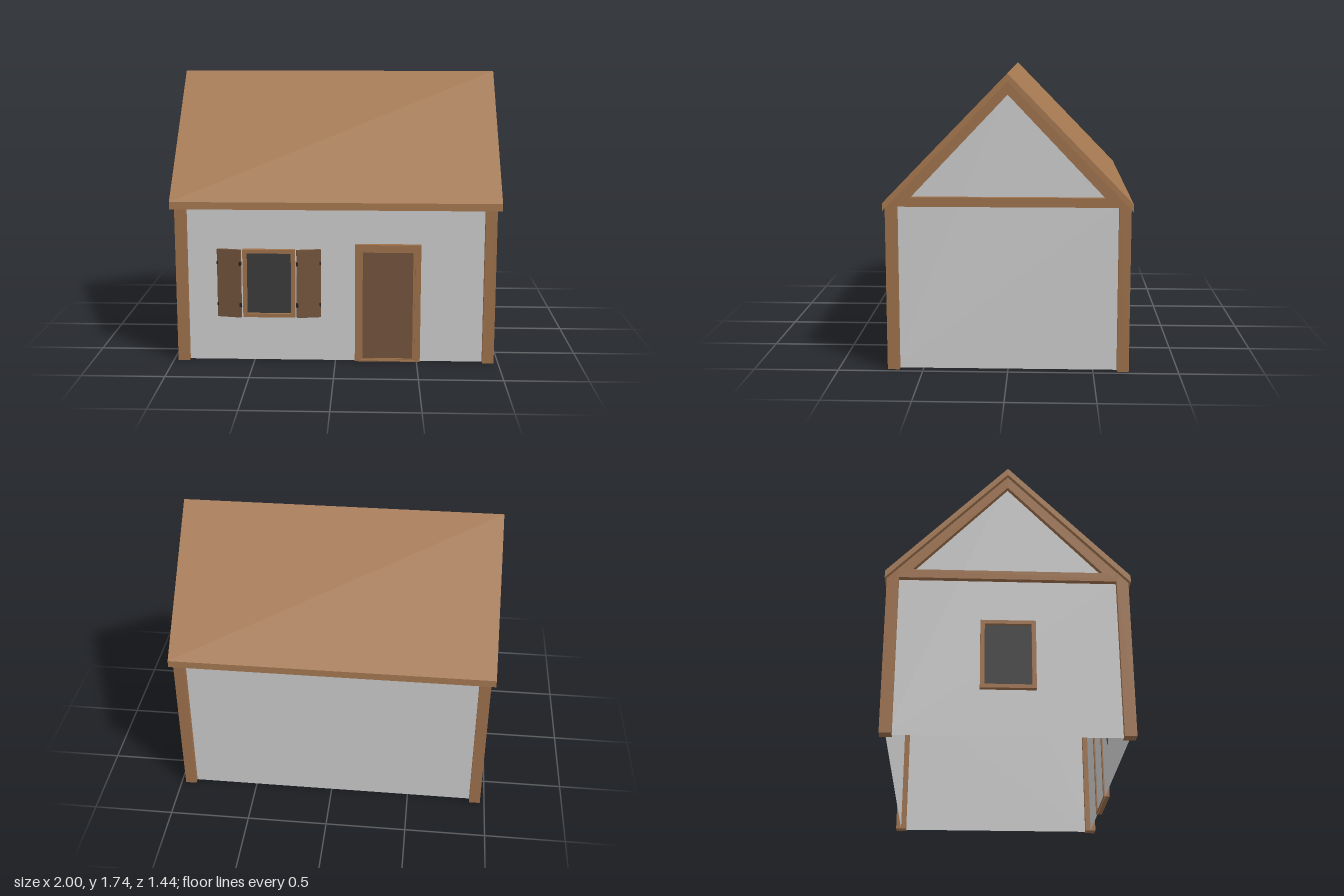
import * as THREE from 'three';

const mat = (color, side = THREE.FrontSide) =>
  new THREE.MeshStandardMaterial({ color, side, flatShading: true });

const plaster = mat(0xcccccc, THREE.DoubleSide);
const timber = mat(0x9e714c);
const roofing = mat(0xa57851);
const doorWood = mat(0x73543d);
const glass = mat(0x3a3a3a);
const iron = mat(0x2a211c);

const WX = 0.937, WZ = 0.675; // wall planes

function add(parent, name, geometry, material) {
  const mesh = new THREE.Mesh(geometry, material);
  mesh.name = name;
  parent.add(mesh);
  return mesh;
}

// Box given by its minimum and maximum corners
function box(parent, name, material, x0, x1, y0, y1, z0, z1) {
  const mesh = add(parent, name, new THREE.BoxGeometry(x1 - x0, y1 - y0, z1 - z0), material);
  mesh.position.set((x0 + x1) / 2, (y0 + y1) / 2, (z0 + z1) / 2);
  return mesh;
}

const outline = (points) => points.map(([x, y]) => new THREE.Vector2(x, y));

// Shape extruded along x, with its drawing plane turned to z-y
function crossSection(shape, depth) {
  return new THREE.ExtrudeGeometry(shape, { depth, bevelEnabled: false })
    .translate(0, 0, -depth / 2)
    .rotateY(Math.PI / 2);
}

// Rectangular ring between two rectangles, z0 to z1
function frame(parent, name, [x0, x1, y0, y1], [a0, a1, b0, b1], z0, z1) {
  const shape = new THREE.Shape(outline([[x0, y0], [x1, y0], [x1, y1], [x0, y1]]));
  shape.holes.push(new THREE.Path(outline([[a0, b0], [a0, b1], [a1, b1], [a1, b0]])));
  const geometry = new THREE.ExtrudeGeometry(shape, { depth: z1 - z0, bevelEnabled: false });
  return add(parent, name, geometry.translate(0, 0, z0), timber);
}

// Window centred on x = 0, with the wall plane at z = 0
function makeWindow(name) {
  const group = new THREE.Group();
  group.name = name;
  frame(group, 'windowFrame', [-0.16, 0.16, 0.28, 0.705], [-0.135, 0.135, 0.303, 0.682], -0.008, 0.031);
  box(group, 'windowPane', glass, -0.137, 0.137, 0.3, 0.685, 0.004, 0.012);
  return group;
}

// Shutter hinged at its inner edge, the outer edge leaning back to the wall
function makeShutter(side) {
  const group = new THREE.Group();
  group.name = side < 0 ? 'rightShutter' : 'leftShutter';
  const w = 0.148;
  const span = (a, b) => (side < 0 ? [-b, -a] : [a, b]);
  box(group, 'shutterPanel', doorWood, ...span(0, w), 0.28, 0.705, 0.023, 0.043);
  for (const y of [0.36, 0.62]) {
    box(group, 'shutterHinge', iron, ...span(-0.004, 0.008), y - 0.012, y + 0.012, 0.03, 0.049);
    box(group, 'shutterCatch', iron, ...span(w - 0.008, w + 0.001), y - 0.01, y + 0.01, 0.035, 0.045);
  }
  group.position.x = side * 0.164;
  group.rotation.y = side * 0.18;
  return group;
}

export function createModel() {
  const house = new THREE.Group();
  house.name = 'cottage';

  // Long walls
  for (const s of [-1, 1]) {
    const wall = add(house, s > 0 ? 'frontWall' : 'backWall', new THREE.PlaneGeometry(2 * WX, 1.01), plaster);
    wall.position.set(0, 0.505, s * WZ);
    if (s < 0) wall.rotation.y = Math.PI;
  }

  // End walls with gables, and the timber triangle on each
  const gable = new THREE.Shape(outline([[-WZ, 0], [WZ, 0], [WZ, 1.01], [0, 1.705], [-WZ, 1.01]]));
  const truss = new THREE.Shape(outline([[-0.695, 0.975], [0.695, 0.975], [0.695, 0.985], [0, 1.703], [-0.695, 0.985]]));
  truss.holes.push(new THREE.Path(outline([[-0.56, 1.03], [0, 1.62], [0.56, 1.03]])));
  for (const s of [-1, 1]) {
    const wall = add(house, s > 0 ? 'leftWall' : 'rightWall', new THREE.ShapeGeometry(gable), plaster);
    wall.rotation.y = s * Math.PI / 2;
    wall.position.x = s * WX;
    add(house, 'gableTimbers', crossSection(truss, 0.066), timber).position.x = s * WX;
  }

  // Corner posts, cut to the roof slope by their cross-section
  const post = new THREE.Shape(outline([[-0.035, 0], [0.035, 0], [0.035, 1.045], [-0.035, 0.975]]));
  for (const sx of [-1, 1]) {
    for (const sz of [-1, 1]) {
      const mesh = add(house, 'cornerPost', crossSection(post, 0.07), timber);
      mesh.position.set(sx * WX, 0, sz * WZ);
      if (sz < 0) mesh.rotation.y = Math.PI;
    }
  }

  // Roof slab
  const roof = new THREE.Shape(outline([
    [-0.72, 0.955], [0, 1.695], [0.72, 0.955], [0.72, 1.0], [0, 1.74], [-0.72, 1.0],
  ]));
  add(house, 'roof', crossSection(roof, 2), roofing);

  // Shuttered front window
  const frontWindow = makeWindow('frontWindow');
  frontWindow.add(makeShutter(-1), makeShutter(1));
  frontWindow.position.set(-0.405, 0, WZ);
  house.add(frontWindow);

  // Plain window in the right wall
  const sideWindow = makeWindow('sideWindow');
  sideWindow.position.x = -WX;
  sideWindow.rotation.y = -Math.PI / 2;
  house.add(sideWindow);

  // Door with a stepped frame
  const door = new THREE.Group();
  door.name = 'door';
  door.position.set(0.32, 0, WZ);
  frame(door, 'doorFrame', [-0.2, 0.2, 0.004, 0.74], [-0.165, 0.165, 0.012, 0.702], -0.008, 0.031);
  frame(door, 'doorStop', [-0.167, 0.167, 0.008, 0.704], [-0.153, 0.153, 0.02, 0.69], 0, 0.018);
  box(door, 'doorPanel', doorWood, -0.155, 0.155, 0.018, 0.692, 0.002, 0.012);
  house.add(door);

  return house;
}
